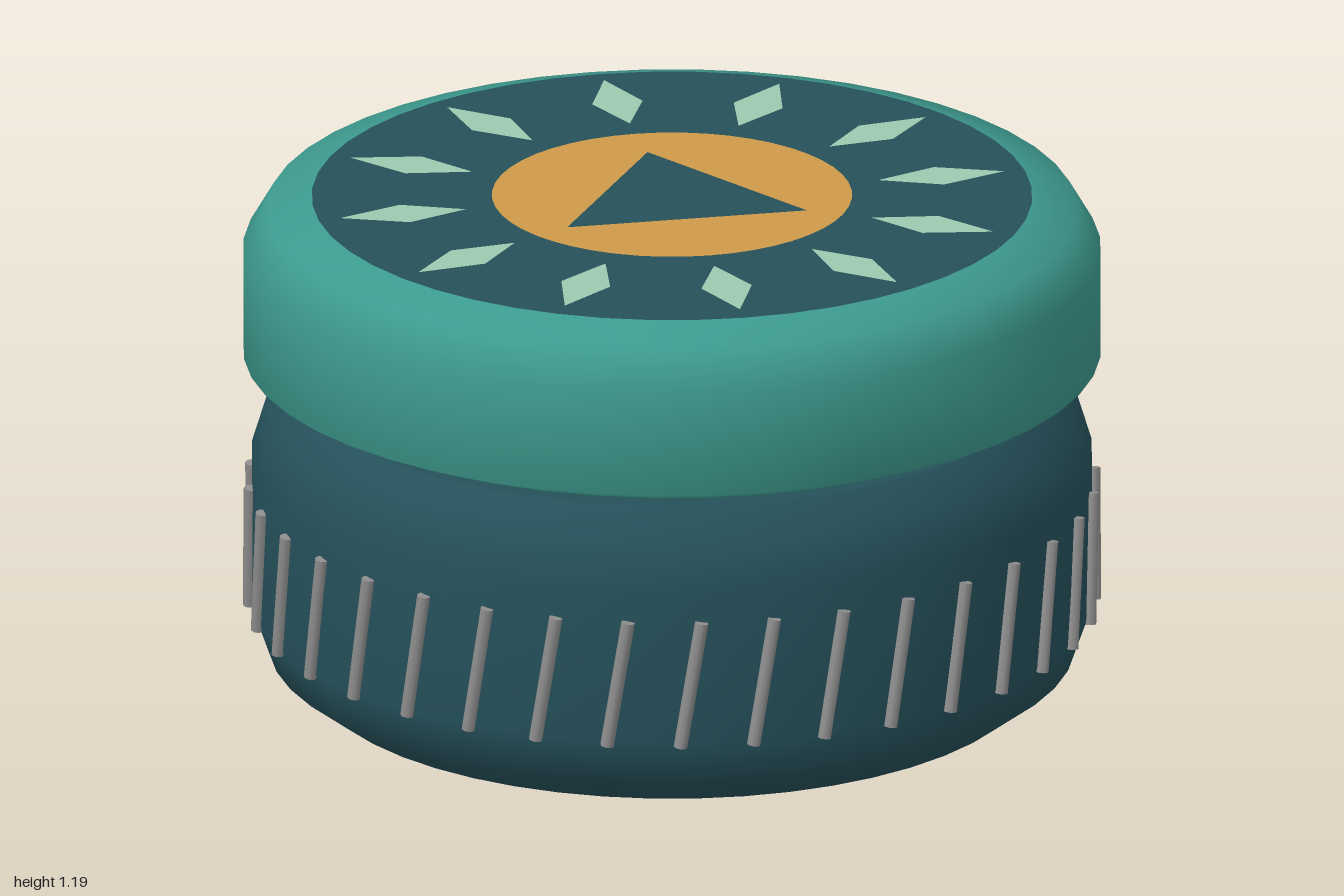
import * as THREE from 'three';

const mat = (name, color, side = THREE.FrontSide) => {
  const m = new THREE.MeshStandardMaterial({ color, side });
  m.name = name;
  return m;
};

export function createModel() {
  const group = new THREE.Group();
  const dark = mat('deep teal', 0x25505a);
  const teal = mat('teal', 0x3d9a8e);
  const gold = mat('ochre', 0xcf9a4a);
  const pale = mat('pale green', 0x9cc8ae);
  const grey = mat('grey', 0x8e8e8e);
  const lining = mat('black lining', 0x2c2c2c);
  const SEG = 48;

  const add = (name, geometry, material, parent = group) => {
    const mesh = new THREE.Mesh(geometry, material);
    mesh.name = name;
    parent.add(mesh);
    return mesh;
  };
  // Smooth turned wall, profile listed bottom to top as [radius, height]
  const turned = (name, profile, material) =>
    add(name, new THREE.LatheGeometry(profile.map(([r, y]) => new THREE.Vector2(r, y)), SEG), material);
  // Flat horizontal shape facing up or down
  const flat = (name, geometry, y, material, up = true, parent = group) => {
    const mesh = add(name, geometry, material, parent);
    mesh.rotation.x = up ? -Math.PI / 2 : Math.PI / 2;
    mesh.position.y = y;
    return mesh;
  };
  const disc = (r) => new THREE.CircleGeometry(r, SEG);
  const polygon = (points) =>
    new THREE.ShapeGeometry(new THREE.Shape(points.map(([x, y]) => new THREE.Vector2(x, y))));

  // Base
  turned('baseWall', [[0.84, 0], [0.94, 0.075], [0.98, 0.19], [0.98, 0.56], [0.945, 0.675], [0.875, 0.74]], dark);
  flat('baseBottom', disc(0.84), 0, dark, false);
  flat('baseTop', disc(0.875), 0.74, dark);

  // Slanted grip ribs around the base
  const ribs = new THREE.Group();
  ribs.name = 'gripRibs';
  group.add(ribs);
  const ribGeometry = new THREE.CylinderGeometry(0.016, 0.016, 0.312, 8);
  ribGeometry.rotateZ(-0.16);
  ribGeometry.translate(0, 0.335, 0.984);
  for (let i = 0; i < 36; i++) {
    add('gripRib', ribGeometry, grey, ribs).rotation.y = 0.018 + (i * Math.PI) / 18;
  }

  // Lid, floating just above the base
  turned('lidWall', [[0.91, 0.77], [1, 0.81], [1, 1.06], [0.945, 1.155], [0.84, 1.188]], teal);
  flat('lidUnderside', disc(0.91), 0.77, lining, false);

  // Flat inlays on the lid
  flat('lidTop', disc(0.84), 1.188, dark);
  flat('centreDisc', disc(0.42), 1.191, gold);
  flat('centreTriangle', polygon([[-0.285, -0.175], [0.285, -0.175], [0, 0.285]]), 1.194, dark);

  // Ring of twelve diamonds
  const diamonds = new THREE.Group();
  diamonds.name = 'diamondRing';
  group.add(diamonds);
  const diamond = polygon([[0.49, 0], [0.635, -0.06], [0.79, 0], [0.635, 0.06]]);
  for (let i = 0; i < 12; i++) {
    flat('diamond', diamond, 1.191, pale, true, diamonds).rotation.z = (i * Math.PI) / 6;
  }
  return group;
}
